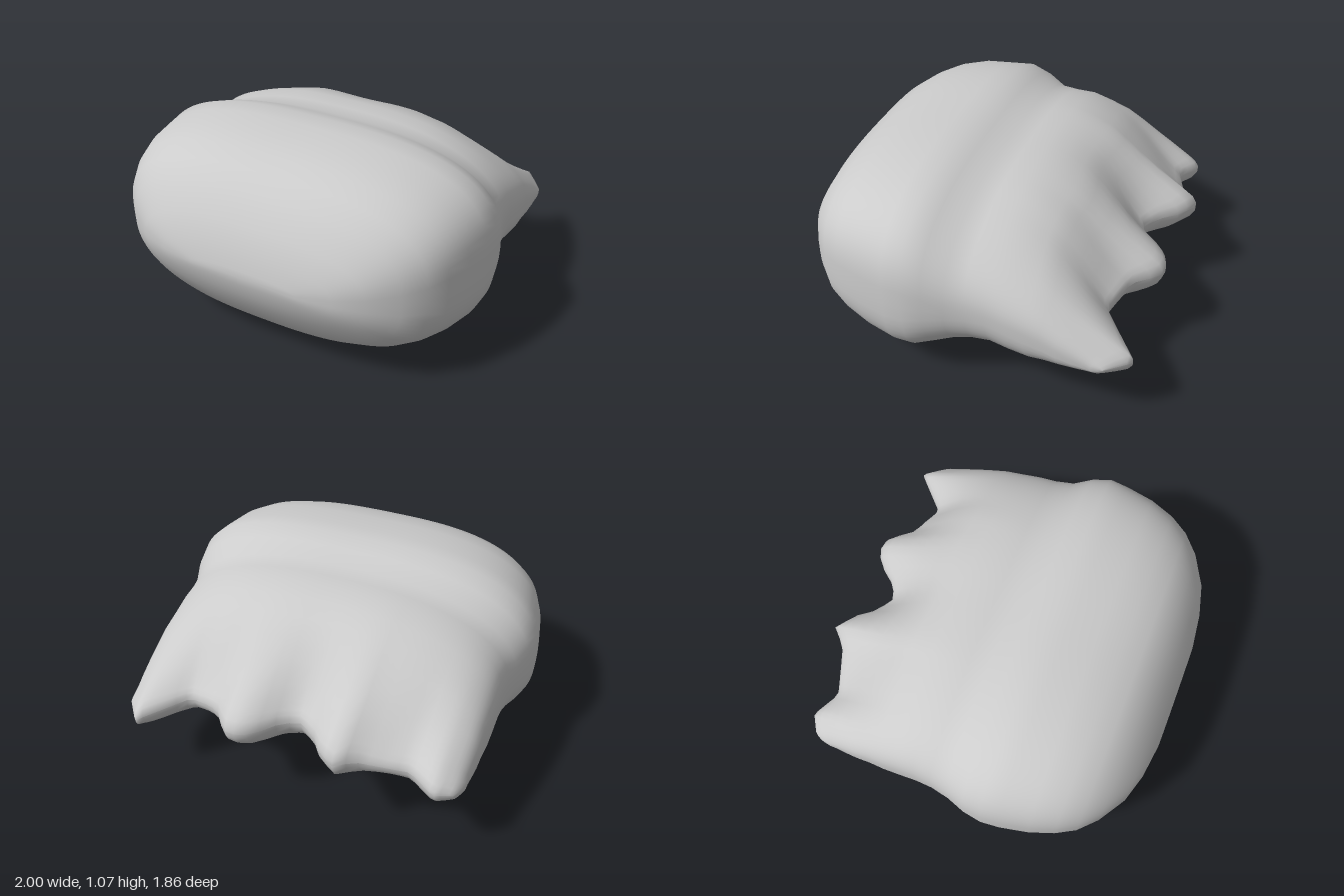
import * as THREE from 'three';

const material = new THREE.MeshStandardMaterial({ color: 0xcccccc });
const { clamp, smoothstep } = THREE.MathUtils;

// Piecewise linear lookup in a list of [key, value] pairs
function lookup(table, k) {
  if (k <= table[0][0]) return table[0][1];
  for (let i = 1; i < table.length; i++) {
    const [k0, v0] = table[i - 1], [k1, v1] = table[i];
    if (k <= k1) return v0 + (v1 - v0) * (k - k0) / (k1 - k0);
  }
  return table[table.length - 1][1];
}

// Cross-sections from front to rear: [z, half width, top, bottom, squareness above, below]
const sections = [
  [0.93, 0, 0.53, 0.53, 2.4, 2.4], [0.93, 0.3, 0.57, 0.49, 2.4, 2.4], [0.905, 0.48, 0.67, 0.41, 2.5, 2.4],
  [0.86, 0.63, 0.78, 0.32, 2.6, 2.5], [0.77, 0.77, 0.915, 0.18, 2.7, 2.6], [0.68, 0.86, 0.975, 0.115, 2.8, 2.6],
  [0.58, 0.915, 1.02, 0.07, 2.9, 2.6], [0.45, 0.96, 1.055, 0.03, 2.9, 2.6], [0.3, 0.99, 1.065, 0.002, 2.9, 2.6],
  [0.2, 1, 1.07, 0.01, 2.9, 2.6], [0.1, 0.985, 1.04, 0.05, 2.7, 2.5], [0, 0.95, 1, 0.09, 2.4, 2.5],
  [-0.1, 0.93, 0.995, 0.13, 2.4, 2.6], [-0.2, 0.925, 0.995, 0.16, 2.4, 2.7], [-0.3, 0.925, 0.965, 0.175, 2.4, 2.9],
  [-0.41, 0.925, 0.925, 0.205, 2.4, 3.1], [-0.5, 0.92, 0.86, 0.25, 2.5, 3.2], [-0.6, 0.92, 0.78, 0.3, 2.6, 3.3],
  [-0.7, 0.915, 0.71, 0.345, 2.8, 3.4], [-0.78, 0.91, 0.66, 0.38, 2.9, 3.4], [-0.84, 0.91, 0.62, 0.415, 3, 3.4],
  [-0.88, 0.905, 0.59, 0.455, 3, 3.4], [-0.9, 0.9, 0.555, 0.495, 3, 3.4], [-0.902, 0.9, 0.525, 0.525, 3, 3.4]];

// Rear outline, four blunt points with notches between: [x, z]
const rearEdge = [[-0.93, -0.7], [-0.88, -0.8], [-0.79, -0.85], [-0.65, -0.77], [-0.4, -0.85],
  [-0.32, -0.93], [-0.22, -0.86], [-0.15, -0.77], [-0.04, -0.7], [0.05, -0.76], [0.13, -0.86],
  [0.2, -0.9], [0.28, -0.89], [0.38, -0.77], [0.58, -0.7], [0.8, -0.9], [0.9, -0.78], [0.93, -0.7]];
const points = [-0.8, -0.32, 0.22, 0.8];
// Height of the rear edge across x
const tipHeight = [[-0.93, 0.43], [-0.6, 0.48], [-0.32, 0.53], [0.22, 0.51], [0.45, 0.5], [0.8, 0.4]];

// One closed skin: plump rounded front, slight neck, rear tapering to the points
function skin() {
  const segs = 104, pos = [], idx = [];
  sections.forEach(([z, w, top, bottom, nTop, nBottom], i) => {
    const s = Math.max(0, -z / 0.9);
    for (let j = 0; j < segs; j++) {
      const a = (j / segs) * Math.PI * 2, u = Math.cos(a), x = u * w;
      const up = j <= segs / 2;
      // Corners are a little fuller at the front left and the rear right
      const n = (up ? nTop : nBottom) + 0.2 * u * clamp(z * 4, -1, 1);
      const v = Math.pow(Math.max(0, 1 - Math.abs(u) ** n), 1 / n);
      // Ridges lead to the points, shallow grooves to the notches
      const ridge = Math.max(...points.map((c) => Math.exp(-(((x - c) / 0.15) ** 2))));
      const groove = 1 - 0.35 * (1 - ridge) * smoothstep(s, 0.62, 0.98);
      const mid = (top + bottom) / 2 + (lookup(tipHeight, x) - 0.525) * Math.pow(s, 1.2);
      const half = ((top - bottom) / 2) * groove;
      pos.push(x, mid + (up ? v : -v) * half, z + s ** 3 * (lookup(rearEdge, x) + 0.9));
      if (i < sections.length - 1) {
        const a0 = i * segs + j, b = i * segs + (j + 1) % segs;
        idx.push(a0, a0 + segs, b, b, a0 + segs, b + segs);
      }
    }
  });
  const geo = new THREE.BufferGeometry();
  geo.setAttribute('position', new THREE.Float32BufferAttribute(pos, 3));
  geo.setIndex(idx);
  geo.computeVertexNormals();
  return geo;
}

export function createModel() {
  const group = new THREE.Group();
  const body = new THREE.Mesh(skin(), material);
  body.name = 'roundedBodyWithPointedRear';
  group.add(body);
  return group;
}
